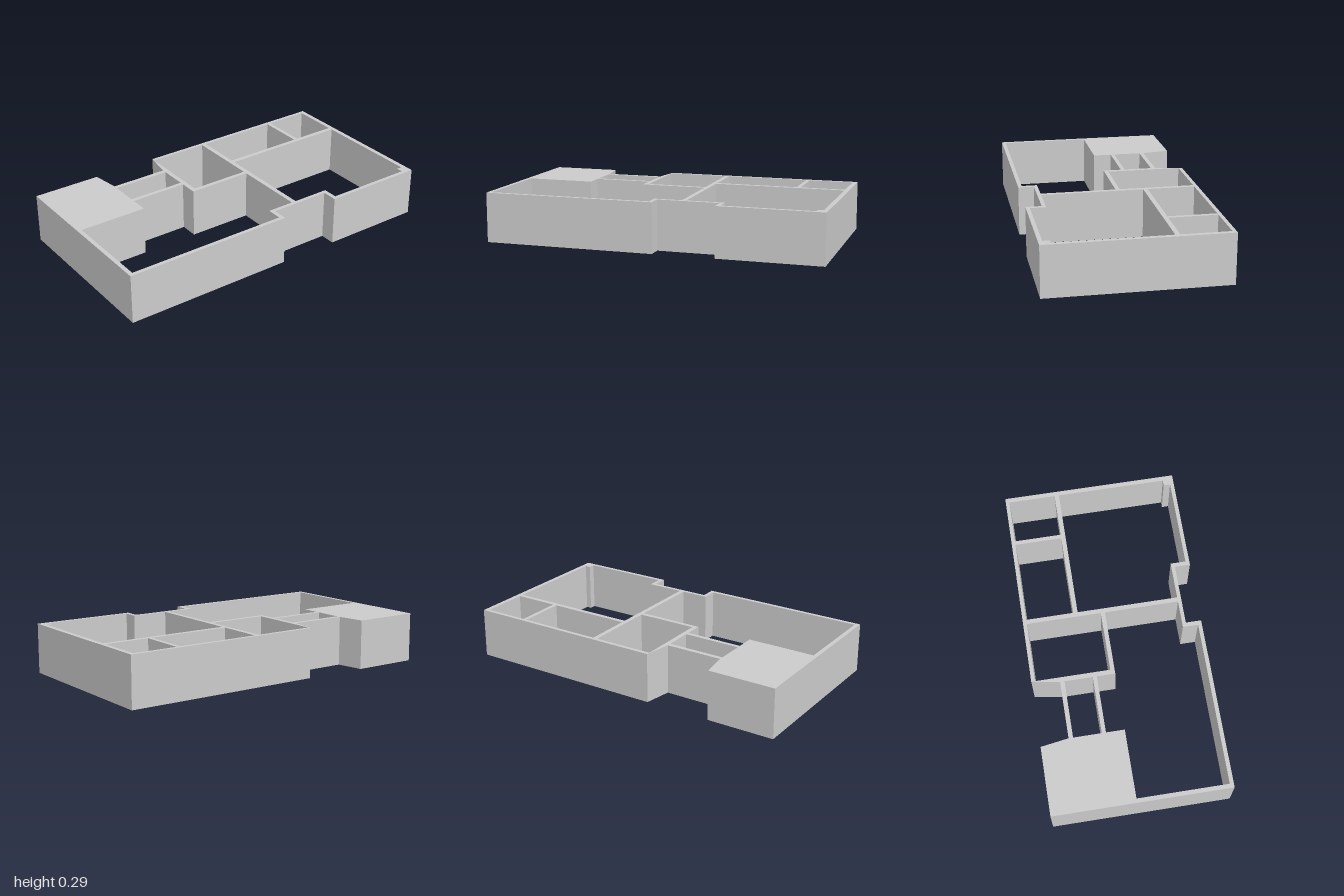
import * as THREE from 'three';

const HEIGHT = 0.295;
const material = new THREE.MeshStandardMaterial({ color: 0xcccccc, flatShading: true });

// Plan points are [x, z]; the extrusion is turned upright so plan z becomes world z.
const toPoints = (plan) => plan.map(([x, z]) => new THREE.Vector2(x, -z));
const rect = (x0, z0, x1, z1) => [[x0, z0], [x1, z0], [x1, z1], [x0, z1]];

function extrudePlan(name, outline, rooms = []) {
  const shape = new THREE.Shape(toPoints(outline));
  for (const room of rooms) shape.holes.push(new THREE.Path(toPoints(room)));
  const geometry = new THREE.ExtrudeGeometry(shape, { depth: HEIGHT, bevelEnabled: false });
  geometry.rotateX(-Math.PI / 2);
  const mesh = new THREE.Mesh(geometry, material);
  mesh.name = name;
  return mesh;
}

export function createModel() {
  const group = new THREE.Group();
  group.name = 'floorPlan';

  // Outer and partition walls, running round from the left end of the hall
  const wallOutline = [
    [-1, -0.035], [-1, 0.52], [0.02, 0.52], [0.02, 0.428], [0.385, 0.428], [0.385, 0.52], // front with recess
    [1, 0.52], [1, -0.525], [-0.2, -0.525], [-0.228, -0.36], [-0.228, -0.035],            // side and back
    [0.16, -0.035], [0.16, 0.406], [-0.005, 0.406], [-0.005, 0.497],                      // inside of the hall
    [-0.975, 0.497], [-0.975, -0.035],
  ];
  const rooms = [
    rect(-0.2, -0.503, 0.16, -0.06),    // back middle room
    rect(0.187, -0.503, 0.682, -0.222), // back right room
    rect(0.706, -0.503, 0.973, -0.222), // small corner room
    [[0.187, -0.195], [0.973, -0.195], [0.973, 0.457], [0.94, 0.457], [0.94, 0.497],
      [0.41, 0.497], [0.41, 0.406], [0.187, 0.406]], // front room with corner pillar
  ];
  group.add(extrudePlan('walls', wallOutline, rooms));

  // Solid corner block
  group.add(extrudePlan('solidBlock', [
    [-1, -0.525], [-0.595, -0.525], [-0.57, -0.36], [-0.57, -0.035], [-1, -0.035],
  ]));

  // Two cross walls of the passage between block and rooms
  group.add(extrudePlan('passageBackWall', rect(-0.57, -0.36, -0.228, -0.334)));
  group.add(extrudePlan('passageFrontWall', rect(-0.57, -0.168, -0.228, -0.144)));

  return group;
}
